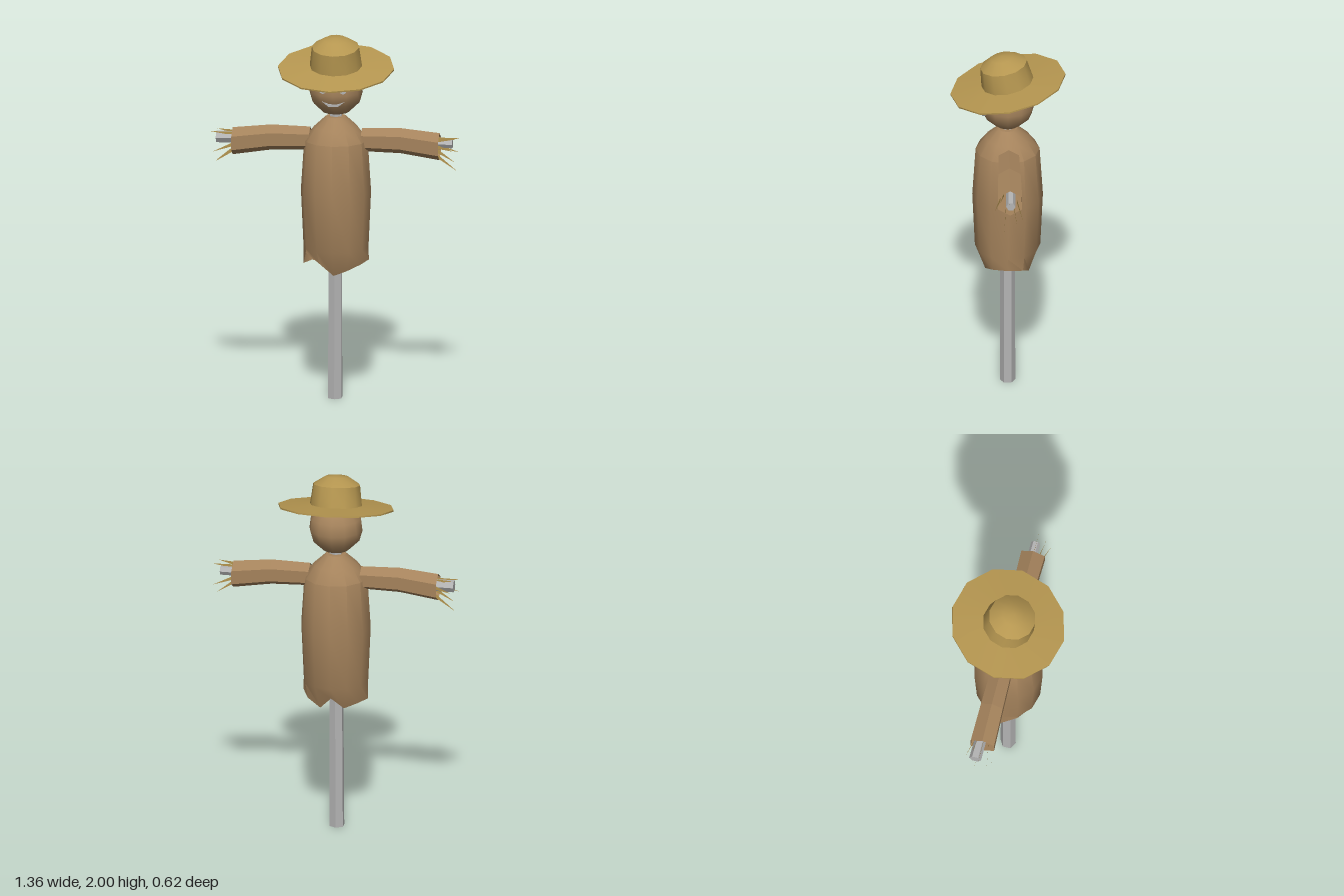
import * as THREE from 'three';
import { toCreasedNormals } from 'three/addons/utils/BufferGeometryUtils.js';

const material = (name, color, double) => {
  const m = new THREE.MeshStandardMaterial({ color });
  m.name = name;
  if (double) m.side = THREE.DoubleSide;
  return m;
};

export function createModel() {
  const model = new THREE.Group();
  model.name = 'scarecrow';
  const cloth = material('brown cloth', 0xa5835c, true);
  const straw = material('golden straw', 0xb59650, true);
  const wood = material('grey wood', 0xb4b4b4);

  const add = (name, geometry, mat, parent = model) => {
    const mesh = new THREE.Mesh(geometry, mat);
    mesh.name = name;
    parent.add(mesh);
    return mesh;
  };
  const lathe = (points, sides) =>
    new THREE.LatheGeometry(points.map(([r, y]) => new THREE.Vector2(r, y)), sides);
  const flat = (geometry) => {
    const g = geometry.toNonIndexed();
    g.computeVertexNormals();
    return g;
  };

  // Upright post, leaning very slightly
  const post = new THREE.CylinderGeometry(0.036, 0.042, 1.64, 6);
  post.translate(0, 0.82, 0);
  const pp = post.attributes.position;
  for (let i = 0; i < pp.count; i++) pp.setX(i, pp.getX(i) - 0.005 * (1 - pp.getY(i) / 1.6));
  add('post', flat(post), wood);

  // Tapered crossbar through both sleeves
  const bar = new THREE.CylinderGeometry(0.033, 0.025, 1.28, 6);
  bar.rotateZ(Math.PI / 2);
  const crossbar = add('crossbar', flat(bar), wood);
  crossbar.position.set(-0.01, 1.422, -0.014);
  crossbar.rotation.y = -0.012;

  // Smock: lathe whose lowest ring is torn into a ragged hem
  const profile = [[0.17, 0.76], [0.176, 0.84], [0.19, 1.15], [0.172, 1.43], [0.12, 1.5], [0.055, 1.56], [0, 1.565]];
  const hem = [
    [0.11, 0.7], [0.14, 0.73], [0.165, 0.76], [0.178, 0.77], [0.16, 0.75], [0.13, 0.71],
    [0.15, 0.78], [0.13, 0.715], [0.16, 0.74], [0.176, 0.74], [0.177, 0.82], [0.15, 0.77],
  ];
  const smock = lathe(profile, 12);
  for (let i = 0; i <= 12; i++) {
    const [r, y] = hem[i % 12];
    const a = (i * Math.PI) / 6;
    smock.attributes.position.setXYZ(i * profile.length, r * Math.sin(a), y, r * Math.cos(a));
  }
  add('smock', toCreasedNormals(smock, 0.65), cloth);

  // Arms: drooping hexagonal sleeves with straw at the cuffs
  const tips = [
    [0.68, 1.455, 0], [0.65, 1.46, 0.05], [0.64, 1.4, 0.08],
    [0.66, 1.28, 0.03], [0.64, 1.31, -0.04], [0.66, 1.36, -0.07],
  ];
  const strawPoints = [];
  for (const [x, y, z] of tips) {
    const by = 1.42 + (y - 1.4) * 0.45;
    strawPoints.push(0.54, by - 0.012, z * 0.6, x, y, z, 0.54, by + 0.012, z * 0.6);
  }
  for (const side of [1, -1]) {
    const arm = new THREE.Group();
    arm.name = side > 0 ? 'leftArm' : 'rightArm';
    if (side < 0) arm.rotation.y = Math.PI;
    model.add(arm);

    const sleeve = new THREE.CylinderGeometry(0.075, 0.064, 0.42, 6, 2, true);
    sleeve.rotateY(Math.PI / 2);
    sleeve.rotateZ(-Math.PI / 2);
    sleeve.translate(0.35, 1.432, -0.004 * side);
    const sp = sleeve.attributes.position;
    for (let i = 0; i < sp.count; i++) {
      if (sp.getX(i) > 0.5) sp.setY(i, sp.getY(i) - 0.027);
    }
    add('sleeve', flat(sleeve), cloth, arm);

    const tufts = new THREE.BufferGeometry();
    tufts.setAttribute('position', new THREE.Float32BufferAttribute(strawPoints, 3));
    tufts.computeVertexNormals();
    add('strawHand', tufts, straw, arm);
  }

  // Sack head
  const head = lathe([[0, 1.575], [0.07, 1.585], [0.128, 1.64], [0.145, 1.7], [0.137, 1.765], [0.1, 1.82], [0, 1.84]], 12);
  add('head', toCreasedNormals(head, 0.8), cloth);

  // Button eyes
  for (const side of [1, -1]) {
    const eye = new THREE.CylinderGeometry(0.02, 0.02, 0.026, 8);
    eye.rotateX(Math.PI / 2);
    add('eye', flat(eye), wood).position.set(side * 0.055, 1.735, 0.132);
  }

  // Smile: crescent wrapped around the face
  const smile = new THREE.Shape();
  smile.moveTo(-0.062, 1.668);
  smile.lineTo(-0.025, 1.643);
  smile.lineTo(0.025, 1.643);
  smile.lineTo(0.062, 1.668);
  smile.lineTo(0.025, 1.656);
  smile.lineTo(-0.025, 1.656);
  smile.closePath();
  const mouth = new THREE.ExtrudeGeometry(smile, { depth: 0.025, bevelEnabled: false });
  const mp = mouth.attributes.position;
  for (let i = 0; i < mp.count; i++) mp.setZ(i, mp.getZ(i) + 0.115 - 4 * mp.getX(i) ** 2);
  mouth.computeVertexNormals();
  add('mouth', mouth, wood);

  // Straw hat, tipped forward
  const hat = lathe([
    [0, -0.008], [0.2, -0.008], [0.315, 0], [0.315, 0.008], [0.142, 0.02],
    [0.128, 0.13], [0.062, 0.173], [0, 0.181],
  ], 12);
  const hatMesh = add('hat', toCreasedNormals(hat, 0.56), straw);
  hatMesh.position.set(0, 1.82, -0.003);
  hatMesh.rotation.x = 0.19;

  return model;
}
